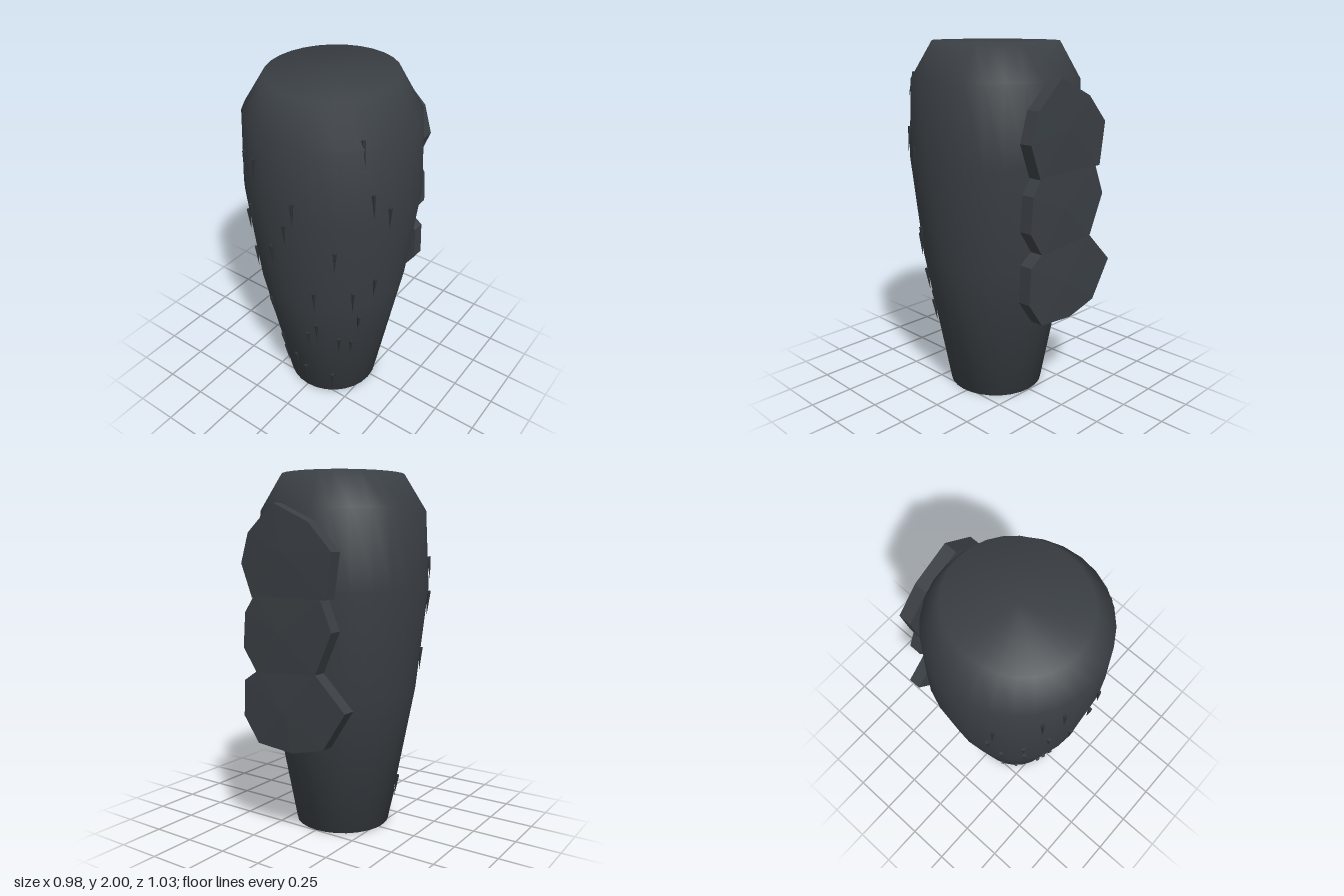
import * as THREE from 'three';
import { ConvexGeometry } from 'three/addons/geometries/ConvexGeometry.js';

const CENTER_Z = 0.027;
// body rings: height, half width, half depth
const RINGS = [
  [0, 0.272, 0.272],
  [0.8, 0.422, 0.418],
  [1.38, 0.49, 0.47],
  [1.8, 0.465, 0.462],
  [2, 0.337, 0.358],
];

// half width and half depth of the body at a height
function radiiAt(y) {
  const i = Math.max(1, RINGS.findIndex((r) => r[0] >= y));
  const [a, b] = [RINGS[i - 1], RINGS[i]];
  const t = (y - a[0]) / (b[0] - a[0]);
  return [a[1] + (b[1] - a[1]) * t, a[2] + (b[2] - a[2]) * t];
}

function surfacePoint(angle, y, lift) {
  const [rx, rz] = radiiAt(y);
  return new THREE.Vector3((rx + lift) * Math.sin(angle), y, CENTER_Z + (rz + lift) * Math.cos(angle));
}

export function createModel() {
  const group = new THREE.Group();
  const shell = new THREE.MeshStandardMaterial({ color: 0x3a3f44 });
  const spikeDark = new THREE.MeshStandardMaterial({ color: 0x2d3235 });

  // tapered body with closed, softly shaded ends
  const profile = [[0, 0], ...RINGS.map(([y, rx]) => [rx, y]), [0, 2]];
  const bodyGeo = new THREE.LatheGeometry(profile.map(([r, y]) => new THREE.Vector2(r, y)), 28);
  const pos = bodyGeo.attributes.position;
  for (let i = 0; i < pos.count; i++) {
    const [rx, rz] = radiiAt(pos.getY(i));
    pos.setZ(i, pos.getZ(i) * (rz / rx) + CENTER_Z);
  }
  const body = new THREE.Mesh(bodyGeo, shell);
  body.name = 'body';
  group.add(body);

  // three faceted slabs stacked on the back, each with a slight central peak
  const plates = [
    [[0.07, 1.83], [0.24, 1.68], [0.29, 1.52], [0.22, 1.34], [-0.26, 1.35], [-0.295, 1.585], [-0.155, 1.73]],
    [[0.2, 1.36], [0.27, 1.26], [0.285, 1.07], [0.19, 0.93], [-0.19, 0.96], [-0.295, 1.19], [-0.225, 1.35]],
    [[0.19, 0.95], [0.28, 0.89], [0.29, 0.69], [0.19, 0.55], [-0.04, 0.53], [-0.24, 0.58], [-0.375, 0.79], [-0.19, 0.97]],
  ];
  plates.forEach((outline, i) => {
    const pts = outline.flatMap(([x, y]) => [new THREE.Vector3(x, y, -0.433), new THREE.Vector3(x, y, -0.508)]);
    const mean = (k) => outline.reduce((s, p) => s + p[k], 0) / outline.length;
    pts.push(new THREE.Vector3(mean(0), mean(1), -0.517));
    const plate = new THREE.Mesh(new ConvexGeometry(pts), shell);
    plate.name = 'backPlate' + (i + 1);
    group.add(plate);
  });

  // small spikes lying down the front: x and height of the blunt end
  const spikes = [
    [0.36, 1.84], [-0.26, 1.64], [-0.16, 1.65], [-0.425, 1.55], [0.415, 1.55], [0.09, 1.49],
    [-0.445, 1.36], [0.46, 1.45], [-0.225, 1.35], [0.035, 1.35], [-0.325, 1.23], [0.28, 1.22],
    [-0.07, 1.17], [-0.385, 1.03], [-0.3, 0.98], [0.165, 0.92], [0.335, 0.92], [0.405, 0.99],
    [-0.17, 0.7], [0.15, 0.66], [0.34, 0.72], [0.09, 0.57], [0.245, 0.54], [0.29, 0.51],
    [-0.145, 0.39], [-0.035, 0.3], [0.025, 0.22], [0.175, 0.18], [-0.29, 0.27], [-0.225, 0.15],
  ];
  const LENGTH = 0.135;
  const spikeGeo = new THREE.ConeGeometry(0.012, LENGTH, 5).toNonIndexed();
  spikeGeo.computeVertexNormals();
  const frontSpikes = new THREE.Group();
  frontSpikes.name = 'frontSpikes';
  for (const [x, y] of spikes) {
    const angle = Math.asin(THREE.MathUtils.clamp(x / radiiAt(y)[0], -0.98, 0.98));
    const base = surfacePoint(angle, y, 0.004);
    const tip = surfacePoint(angle, Math.max(0.01, y - LENGTH), 0.01);
    const spike = new THREE.Mesh(spikeGeo, spikeDark);
    spike.name = 'spike';
    spike.position.copy(base).lerp(tip, 0.5);
    spike.quaternion.setFromUnitVectors(new THREE.Vector3(0, 1, 0), tip.sub(base).normalize());
    frontSpikes.add(spike);
  }
  group.add(frontSpikes);
  return group;
}
